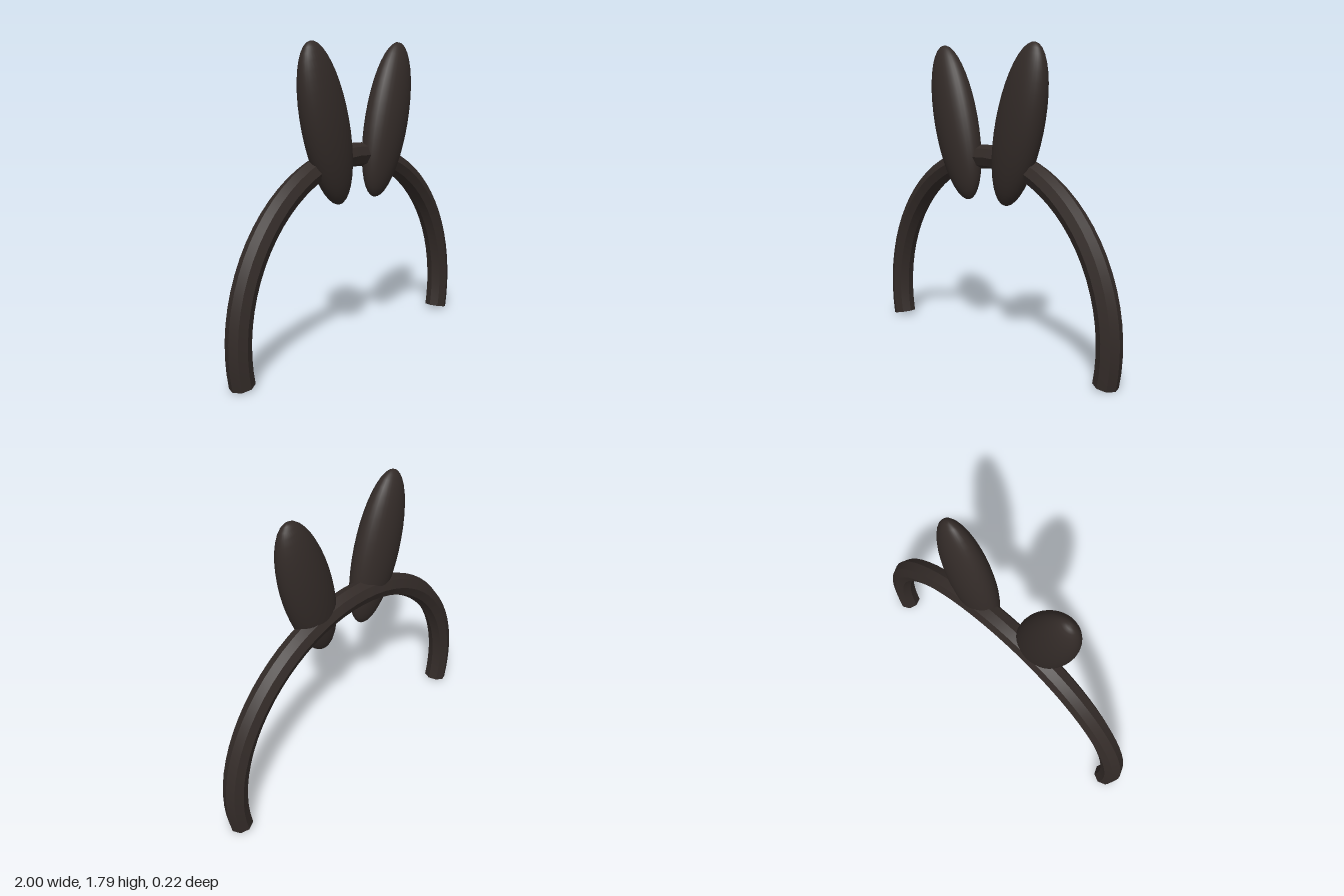
import * as THREE from 'three';
import { mergeGeometries, toCreasedNormals } from 'three/addons/utils/BufferGeometryUtils.js';

const RADIUS = 0.93, TUBE = 0.07, SIDES = 8;
const DROP = THREE.MathUtils.degToRad(12.2); // how far the band runs below its centre
const CENTRE_Y = 0.211;

// Eight-sided arc with flat end caps, smooth along its length and sharp across
function bandGeometry() {
  const arc = Math.PI + 2 * DROP;
  const cap = (turn, angle) => new THREE.CircleGeometry(TUBE, SIDES)
    .rotateX(turn).translate(RADIUS, 0, 0).rotateZ(angle);
  const merged = mergeGeometries([
    new THREE.TorusGeometry(RADIUS, TUBE, SIDES, 40, arc),
    cap(Math.PI / 2, 0),
    cap(-Math.PI / 2, arc),
  ]);
  return toCreasedNormals(merged.rotateZ(-DROP), THREE.MathUtils.degToRad(35));
}

export function createModel() {
  const group = new THREE.Group();
  group.name = 'earHeadband';
  const material = new THREE.MeshStandardMaterial({ color: 0x332b28 });

  const band = new THREE.Mesh(bandGeometry(), material);
  band.name = 'band';
  band.position.set(0, CENTRE_Y, -0.04);
  group.add(band);

  // Flattened egg-shaped ears, leaning outwards
  const earGeometry = new THREE.SphereGeometry(1, 32, 20).scale(0.162, 0.472, 0.106);
  for (const side of [1, -1]) {
    const ear = new THREE.Mesh(earGeometry, material);
    ear.name = side > 0 ? 'leftEar' : 'rightEar';
    ear.position.set(side * 0.28, 1.333, 0);
    ear.rotation.z = -side * THREE.MathUtils.degToRad(15.3);
    group.add(ear);
  }
  return group;
}
